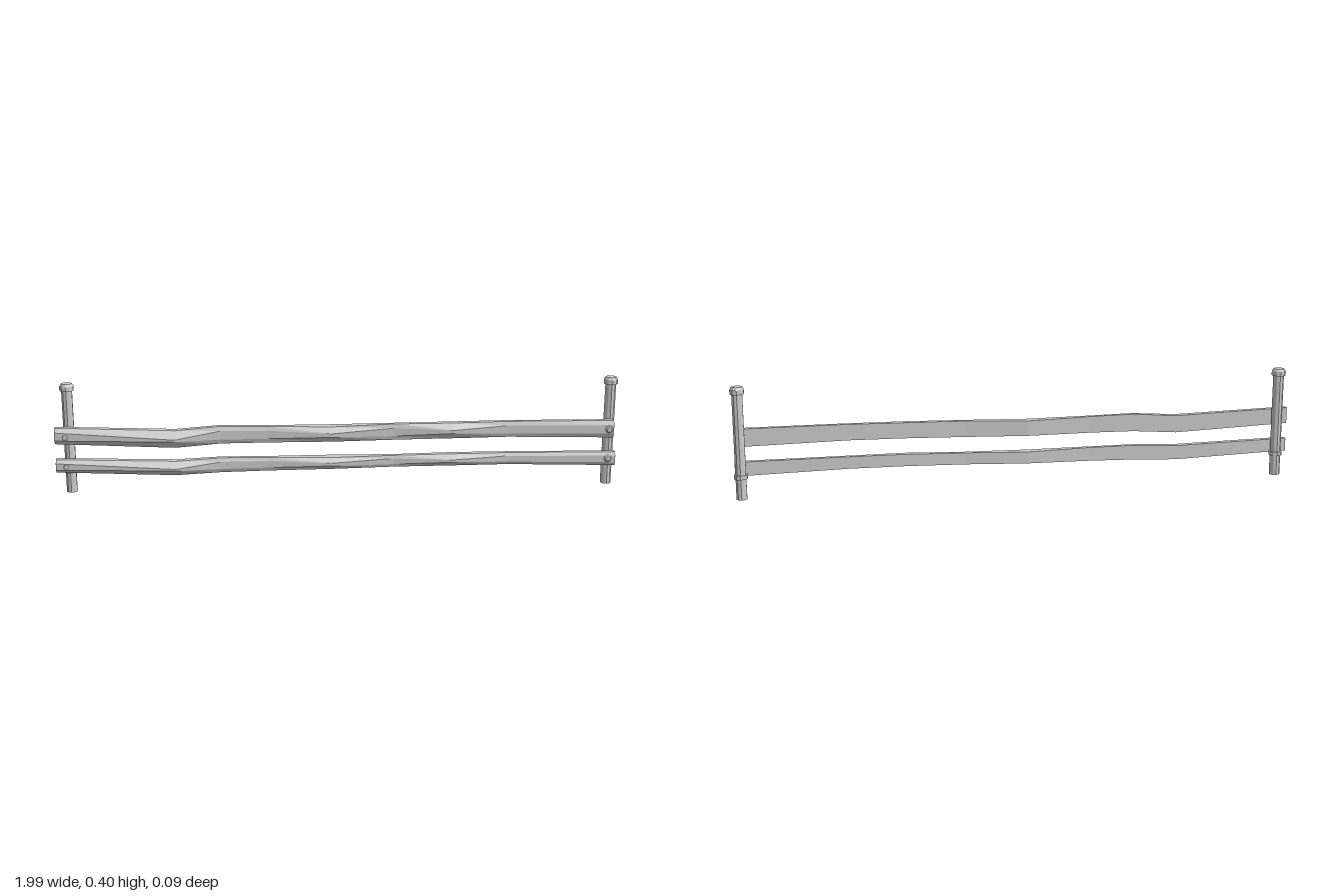
import * as THREE from 'three';

const mat = new THREE.MeshStandardMaterial({ color: 0xcccccc, flatShading: true });

// Rail stations: x, back z, front z, front ridge half-height (fraction of the height)
const STATIONS = [
  [-1, -0.004, 0.026, 0.25], [-0.58, -0.004, 0.045, 0.06], [-0.42, -0.004, 0.019, 0.25],
  [-0.26, -0.004, 0.017, 0.25], [-0.03, -0.018, 0.035, 0.12], [0.19, -0.004, 0.016, 0.25],
  [0.4, -0.004, 0.037, 0.1], [0.6, -0.004, 0.018, 0.25], [0.985, -0.004, 0.021, 0.25],
];

// Loft a bevelled section through the stations; heights are [bottom, top] pairs
function rail(name, heights, endX) {
  const rings = STATIONS.map(([x, back, front, ridge], i) => {
    const [b, t] = heights[i];
    const h = t - b, m = (b + t) / 2, s = 0.012 + (front - 0.016) * 0.3;
    const px = i === STATIONS.length - 1 ? endX : x;
    return [[back, b], [back, t], [s, t], [front, m + h * ridge], [front, m - h * ridge], [s, b]]
      .map(([z, y]) => [px, y, z]);
  });
  const pos = [], n = 6;
  const tri = (...p) => p.forEach((v) => pos.push(...v));
  for (let i = 0; i < rings.length - 1; i++) {
    for (let j = 0; j < n; j++) {
      const k = (j + 1) % n;
      const a = rings[i][j], b = rings[i][k], c = rings[i + 1][k], d = rings[i + 1][j];
      tri(a, b, c);
      tri(a, c, d);
    }
  }
  // End caps
  const first = rings[0], last = rings[rings.length - 1];
  for (let j = 1; j < n - 1; j++) {
    tri(first[0], first[j + 1], first[j]);
    tri(last[0], last[j], last[j + 1]);
  }
  const geo = new THREE.BufferGeometry();
  geo.setAttribute('position', new THREE.Float32BufferAttribute(pos, 3));
  geo.computeVertexNormals();
  const mesh = new THREE.Mesh(geo, mat);
  mesh.name = name;
  return mesh;
}

function cylinder(name, rTop, rBottom, y0, y1, sides) {
  const geo = new THREE.CylinderGeometry(rTop, rBottom, y1 - y0, sides);
  geo.translate(0, (y0 + y1) / 2, 0);
  const mesh = new THREE.Mesh(geo, mat);
  mesh.name = name;
  return mesh;
}

function post(name, x) {
  const g = new THREE.Group();
  g.name = name;
  g.add(
    cylinder('postShaft', 0.019, 0.019, 0, 0.385, 10),
    cylinder('capRim', 0.025, 0.025, 0.37, 0.386, 10),
    cylinder('capTop', 0.019, 0.025, 0.386, 0.395, 10),
    cylinder('postBand', 0.024, 0.024, 0.073, 0.087, 10),
  );
  g.position.set(x, 0, -0.023);
  return g;
}

// Bolt with a bevelled head, facing forward
function bolt(name, x, y) {
  const profile = [[0, 0], [0.014, 0], [0.014, 0.022], [0.009, 0.029], [0, 0.03]]
    .map(([r, h]) => new THREE.Vector2(r, h));
  const mesh = new THREE.Mesh(new THREE.LatheGeometry(profile, 8), mat);
  mesh.name = name;
  mesh.rotation.x = Math.PI / 2;
  mesh.position.set(x, y, 0);
  return mesh;
}

export function createModel() {
  const group = new THREE.Group();
  group.name = 'railFence';
  group.add(post('rightPost', -0.955), post('leftPost', 0.97));
  group.add(rail('upperRail', [
    [0.186, 0.244], [0.168, 0.23], [0.179, 0.242], [0.18, 0.239], [0.181, 0.235],
    [0.183, 0.241], [0.187, 0.243], [0.188, 0.245], [0.18, 0.243],
  ], 0.98));
  group.add(rail('lowerRail', [
    [0.082, 0.129], [0.067, 0.118], [0.073, 0.126], [0.076, 0.125], [0.08, 0.122],
    [0.083, 0.125], [0.086, 0.129], [0.086, 0.129], [0.076, 0.126],
  ], 0.99));
  for (const [side, x] of [['right', -0.963], ['left', 0.962]]) {
    group.add(bolt(side + 'UpperBolt', x, 0.212), bolt(side + 'LowerBolt', x, 0.104));
  }
  return group;
}
